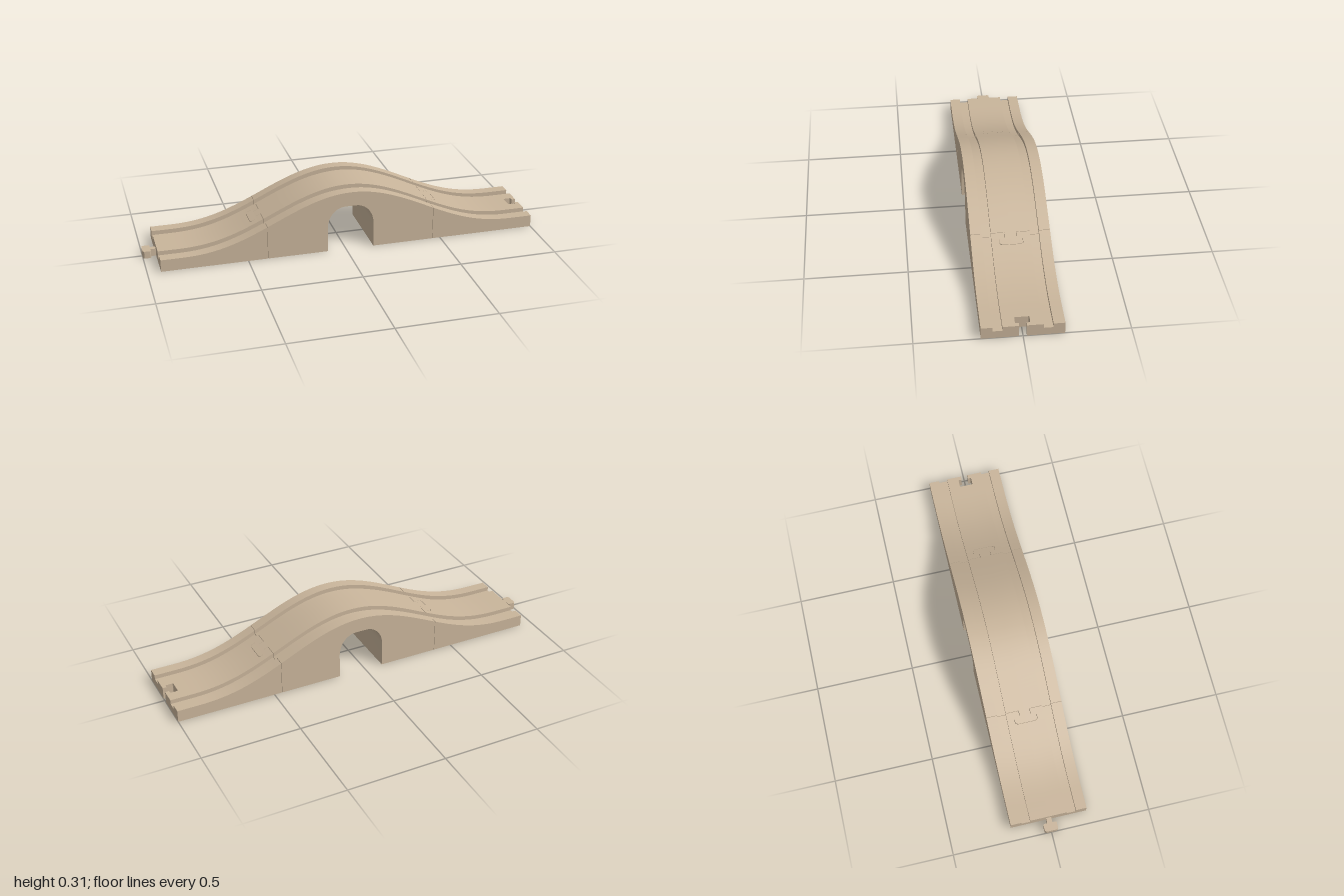
import * as THREE from 'three';
import { toCreasedNormals } from 'three/addons/utils/BufferGeometryUtils.js';

const CREST = 0.03, LEFT_END = -0.933, RIGHT_END = 1;
const SEAM_L = -0.4, SEAM_R = 0.458, GAP = 0.002;
const HALF = 0.193, GROOVE_IN = 0.094, GROOVE_OUT = 0.139, GROOVE_DEPTH = 0.022;

// Height of the humped track at x
function height(x) {
  const d = Math.min(Math.abs(x - CREST) / 0.87, 1);
  return 0.062 + 0.248 * Math.pow((1 + Math.cos(Math.PI * d)) / 2, 1.2);
}

// Half cross-sections as [z, y]
const trackSection = ({ x, w = 0, b = 0 }) => {
  const h = height(x), g = h - GROOVE_DEPTH;
  return [[w, b], [w, h], [GROOVE_IN, h], [GROOVE_IN, g], [GROOVE_OUT, g], [GROOVE_OUT, h], [HALF, h], [HALF, b]];
};
const tabSection = ({ x, w }) => [[0, 0], [0, height(x)], [w, height(x)], [w, 0]];
const pegSection = ({ w }) => [[0, 0], [0, 0.038], [w, 0.038], [w, 0]];

// Loft a half section along x and mirror it across z = 0
function loft(name, stations, section, material) {
  const pos = [], a = new THREE.Vector3(), b = new THREE.Vector3();
  const tri = (p, q, r, flip) => {
    if (flip) [q, r] = [r, q];
    a.subVectors(q, p);
    b.subVectors(r, p);
    if (a.cross(b).length() < 1e-9) return;
    for (const v of [p, q, r]) pos.push(v.x, v.y, v.z);
  };
  for (const side of [1, -1]) {
    const rows = stations.map((s) => section(s).map(([z, y]) => new THREE.Vector3(s.x, y, z * side)));
    const n = rows[0].length;
    for (let i = 0; i + 1 < rows.length; i++) {
      for (let j = 0; j < n; j++) {
        const k = (j + 1) % n;
        const quad = [rows[i][j], rows[i][k], rows[i + 1][k], rows[i + 1][j]];
        if (quad.every((v) => Math.abs(v.z) < 1e-6)) continue; // open on the centre plane
        tri(quad[0], quad[1], quad[2], side < 0);
        tri(quad[0], quad[2], quad[3], side < 0);
      }
    }
    // End caps
    for (const [row, dir] of [[rows[0], -1], [rows[rows.length - 1], 1]]) {
      const flat = row.map((v) => new THREE.Vector2(v.z, v.y));
      for (const [i, j, k] of THREE.ShapeUtils.triangulateShape(flat, [])) {
        const p = row[i], q = row[j], r = row[k];
        const nx = (q.y - p.y) * (r.z - p.z) - (q.z - p.z) * (r.y - p.y);
        tri(p, q, r, nx * dir < 0);
      }
    }
  }
  const geometry = new THREE.BufferGeometry();
  geometry.setAttribute('position', new THREE.Float32BufferAttribute(pos, 3));
  const mesh = new THREE.Mesh(toCreasedNormals(geometry, 0.5), material);
  mesh.name = name;
  return mesh;
}

// Connector outlines: [distance from the joint, half width]
const TAB = [[0, 0.027], [0.025, 0.027], [0.025, 0.045], [0.032, 0.056], [0.052, 0.056], [0.06, 0.045], [0.06, 0]];
const PEG = [[0, 0.013], [0.026, 0.013], [0.026, 0.029], [0.031, 0.034], [0.06, 0.034], [0.067, 0.027]];
const SOCKET = [[0, 0.018], [0.02, 0.018], [0.02, 0.032], [0.023, 0.035], [0.057, 0.035], [0.06, 0.032], [0.06, 0]];

// Stations of an outline running from x in direction dir, sorted by rising x
function outline(points, x, dir, grow = 0) {
  const list = points.map(([d, w]) => ({ x: x + dir * (d + grow), w: w > 0 ? w + grow : 0 }));
  return dir < 0 ? list.reverse() : list;
}

// Evenly spaced stations
function span(x0, x1, count) {
  return Array.from({ length: count + 1 }, (_, i) => ({ x: x0 + ((x1 - x0) * i) / count }));
}

// Arch opening: straight walls, rounded shoulders, flat crown
function archStations() {
  const left = -0.095, right = 0.143, rx = 0.09, ry = 0.108, spring = 0.128, steps = 12;
  const rise = [];
  for (let i = 0; i <= steps; i++) {
    const t = (i / steps) * Math.PI / 2;
    rise.push([rx * (1 - Math.cos(t)), spring + ry * Math.sin(t)]);
  }
  return [
    { x: left, b: 0 },
    ...rise.map(([d, b]) => ({ x: left + d, b })),
    { x: (left + right) / 2, b: spring + ry },
    ...rise.reverse().map(([d, b]) => ({ x: right - d, b })),
    { x: right, b: 0 },
  ];
}

export function createModel() {
  const wood = new THREE.MeshStandardMaterial({ color: 0xc9b59b });
  wood.name = 'light wood';
  const group = new THREE.Group();
  group.name = 'archedTrackBridge';

  // Arched middle piece with a tab at each end
  const arch = archStations();
  group.add(loft('archSpan', [
    ...span(SEAM_L, arch[0].x, 16).slice(0, -1),
    ...arch,
    ...span(arch[arch.length - 1].x, SEAM_R, 16).slice(1),
  ], trackSection, wood));
  const tab = TAB.slice(0, -1);
  group.add(loft('leftTab', outline(tab, SEAM_L, -1), tabSection, wood));
  group.add(loft('rightTab', outline(tab, SEAM_R, 1), tabSection, wood));

  // Ramps, each with a slot for a tab
  group.add(loft('leftRamp', [
    ...span(LEFT_END, SEAM_L - 0.07, 24),
    ...outline(TAB, SEAM_L, -1, GAP),
  ], trackSection, wood));
  group.add(loft('rightRamp', [
    ...outline(TAB, SEAM_R, 1, GAP),
    ...span(SEAM_R + 0.07, RIGHT_END - 0.07, 22),
    ...outline(SOCKET, RIGHT_END, -1),
  ], trackSection, wood));

  // Connector peg on the left end
  group.add(loft('connectorPeg', outline(PEG, LEFT_END, -1), pegSection, wood));
  return group;
}
